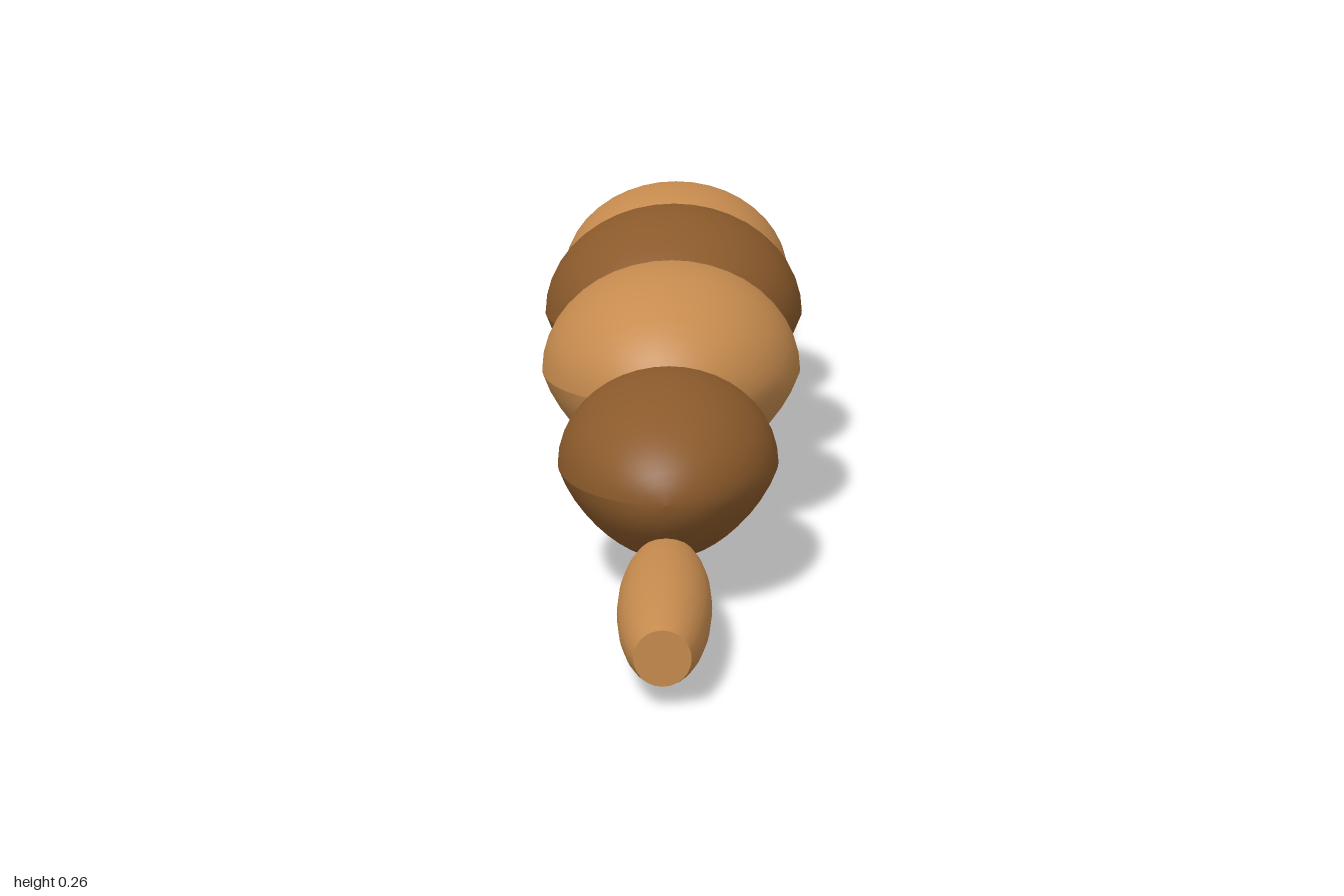
import * as THREE from 'three';

const lightBrown = new THREE.MeshStandardMaterial({ color: 0xc68b4e });
lightBrown.name = 'lightBrown';
const darkBrown = new THREE.MeshStandardMaterial({ color: 0x8b5a2b });
darkBrown.name = 'darkBrown';
const foilGrey = new THREE.MeshStandardMaterial({ color: 0xb8b0a0, side: THREE.DoubleSide });
foilGrey.name = 'foilGrey';

// Ellipsoid whose underside narrows towards the bottom
function beadGeometry(rx, ry, rz) {
  const geometry = new THREE.SphereGeometry(1, 40, 28);
  geometry.rotateX(Math.PI / 2);
  const p = geometry.attributes.position;
  for (let i = 0; i < p.count; i++) {
    const y = p.getY(i);
    const taper = y < 0 ? 1 + 0.27 * y : 1;
    p.setXYZ(i, p.getX(i) * rx * taper, y * ry, p.getZ(i) * rz);
  }
  geometry.computeVertexNormals();
  return geometry;
}

// Lathe along z; each profile point is [radius, z], with z falling
function latheAlongZ(profile, sides, phase = 0) {
  const points = profile.map(([r, z]) => new THREE.Vector2(r, -z));
  return new THREE.LatheGeometry(points, sides, phase).rotateX(-Math.PI / 2);
}

export function createModel() {
  const model = new THREE.Group();
  const add = (name, geometry, material, y, z = 0) => {
    const mesh = new THREE.Mesh(geometry, material);
    mesh.name = name;
    mesh.position.set(0, y, z);
    model.add(mesh);
    return mesh;
  };

  // Five overlapping beads: z, centre height, radii x / y / z
  const beads = [
    [0.6, 0.108, 0.103, 0.083, 0.165],
    [0.345, 0.141, 0.13, 0.106, 0.173],
    [0.09, 0.149, 0.139, 0.114, 0.176],
    [-0.165, 0.141, 0.13, 0.106, 0.173],
    [-0.42, 0.108, 0.103, 0.083, 0.165],
  ];
  beads.forEach(([z, y, rx, ry, rz], i) => {
    add('bead' + (i + 1), beadGeometry(rx, ry, rz), i % 2 ? lightBrown : darkBrown, y, z);
  });

  // Slim blunt-ended links at both ends
  const blunt = 0.024;
  const makeLink = (name, centre, half) => {
    const profile = [];
    const end = Math.acos(blunt / 0.041);
    for (let i = 0; i <= 16; i++) {
      const a = end * (1 - i / 8);
      profile.push([0.041 * Math.cos(a), (half * Math.sin(a)) / Math.sin(end)]);
    }
    add(name, latheAlongZ(profile, 24), lightBrown, 0.041, centre);
    for (const s of [1, -1]) {
      const cap = new THREE.CircleGeometry(blunt, 24);
      if (s < 0) cap.rotateY(Math.PI);
      add(name + (s > 0 ? 'FrontCap' : 'BackCap'), cap, lightBrown, 0.041, centre + s * half);
    }
  };
  makeLink('frontLink', 0.855, 0.145);
  makeLink('backLink', -0.66, 0.14);

  // Eight-sided foil wrapper, pinched and flared at its back end
  const wrapper = latheAlongZ([
    [0.06, -0.565], [0.055, -0.62], [0.052, -0.8], [0.051, -0.89],
    [0.046, -0.925], [0.034, -0.952], [0.02, -0.966], [0.009, -0.974],
    [0.027, -0.992], [0.028, -1], [0, -1],
  ], 8, Math.PI / 8).toNonIndexed();
  wrapper.computeVertexNormals();
  add('foilWrapper', wrapper, foilGrey, 0.077);

  return model;
}
